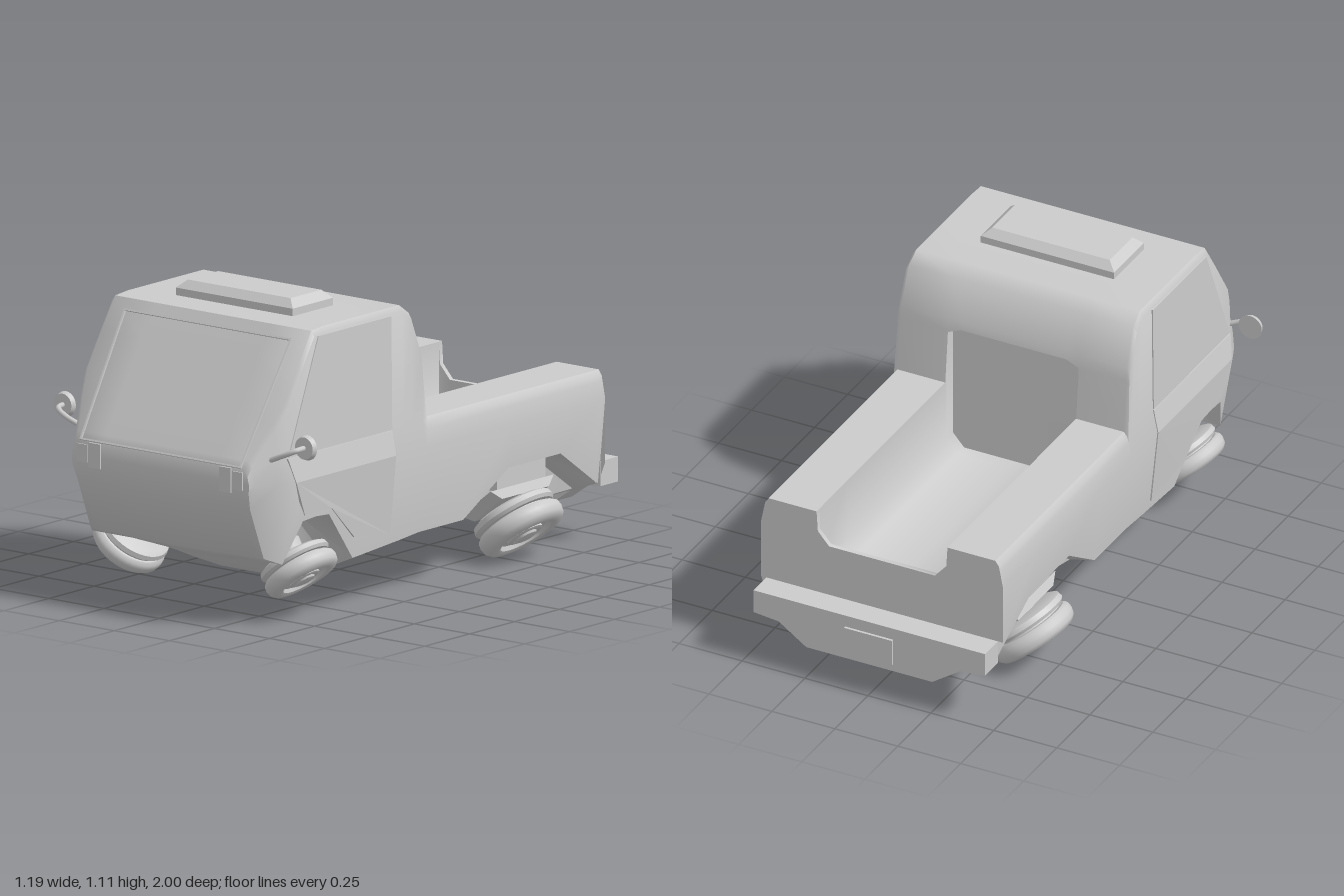
import * as THREE from 'three';
import { toCreasedNormals } from 'three/addons/utils/BufferGeometryUtils.js';

const mat = new THREE.MeshStandardMaterial({ color: 0xcccccc, side: THREE.DoubleSide });

function add(parent, name, geo, x = 0, y = 0, z = 0) {
  const m = new THREE.Mesh(geo, mat);
  m.name = name;
  m.position.set(x, y, z);
  parent.add(m);
  return m;
}

const polygon = pts => new THREE.Shape(pts.map(p => new THREE.Vector2(...p)));

// Half width of the body at height y, narrowing towards the nose
const SIDE = [[0.1, 0.43], [0.3, 0.462], [0.53, 0.48], [0.62, 0.462], [1.03, 0.458], [1.06, 0.455]];
function side(y, z) {
  let w = SIDE[0][1];
  for (let i = 1; i < SIDE.length; i++) {
    const [y0, w0] = SIDE[i - 1], [y1, w1] = SIDE[i];
    if (y >= y0) w = w0 + (w1 - w0) * Math.min(1, (y - y0) / (y1 - y0));
  }
  return w * (1 - Math.max(0, z - 0.86) / 0.14 * 0.17);
}

// Right half of a body cross-section, from belly centre to top centre;
// recess moves the middle of the top forwards
function halfSection([z, yB, yS, arch, yTop, yC, recess = 0]) {
  const y2 = Math.min(yB + 0.03, yS);
  const belt = Math.min(0.53, yTop - 0.06), waist = Math.min(0.62, yTop - 0.04), sh = yTop - 0.02;
  const tuck = Math.max(0, z - 0.8) * 0.5 * Math.max(0, (0.5 - yS) / 0.3);
  return [
    [0, yB], [0.15, yB], [0.25, y2],
    arch ? [0.28, yS] : [0.35, (y2 + yS) / 2],
    [side(yS, z) - tuck, yS],
    [side(belt, z), belt], [side(waist, z), waist], [side(sh, z), sh],
    [side(yTop, z) - 0.012, yTop], [0.26, yTop],
    [0.255, Math.min(yTop, yC + 0.05), recess], [0.21, yC, recess], [0, yC, recess],
  ].map(([x, y, dz = 0]) => new THREE.Vector3(x, y, z + dz));
}

// Skin mirrored half sections, ordered front to back, with closed ends
function loft(halves) {
  const flat = (h, y) => h.map(p => new THREE.Vector3(p.x, y, p.z));
  const last = halves[halves.length - 1];
  const rings = [flat(halves[0], 0.54), ...halves, flat(last, 0.3)].map(h => [
    ...h, ...h.slice(1, -1).reverse().map(p => new THREE.Vector3(-p.x, p.y, p.z)),
  ]);
  const pos = [];
  for (let i = 0; i < rings.length - 1; i++) {
    const n = rings[i].length;
    for (let j = 0; j < n; j++) {
      const k = (j + 1) % n;
      const a = rings[i][j], b = rings[i][k], c = rings[i + 1][k], d = rings[i + 1][j];
      for (const p of [a, d, c, a, c, b]) pos.push(p.x, p.y, p.z);
    }
  }
  const g = new THREE.BufferGeometry();
  g.setAttribute('position', new THREE.Float32BufferAttribute(pos, 3));
  return toCreasedNormals(g, 0.85);
}

// Thin panel with a (z, y) outline that hugs the body side s
function sidePanel(outline, s) {
  const shape = polygon(outline.map(([z, y]) => [-s * z, y]));
  const g = new THREE.ExtrudeGeometry(shape, { depth: 0.012, bevelEnabled: false });
  const p = g.attributes.position;
  for (let i = 0; i < p.count; i++) {
    const z = -s * p.getX(i), y = p.getY(i);
    p.setXYZ(i, s * (side(y, z) - 0.008 + p.getZ(i)), y, z);
  }
  g.computeVertexNormals();
  return g;
}

// Box with its top face shrunk
function taperedBox(w, h, d, sx, sz) {
  const g = new THREE.BoxGeometry(w, h, d);
  const p = g.attributes.position;
  for (let i = 0; i < p.count; i++)
    if (p.getY(i) > 0) p.setXYZ(i, p.getX(i) * sx, p.getY(i), p.getZ(i) * sz);
  g.computeVertexNormals();
  return g;
}

// Tilted wheel whose outer face looks down and outwards
function wheel(r, s, name) {
  const g = new THREE.Group();
  g.name = name;
  const lathe = list => toCreasedNormals(
    new THREE.LatheGeometry(list.map(([x, y]) => new THREE.Vector2(x * r, y * r)), 36), 0.7);
  add(g, 'tyre', lathe([[0.5, -0.04], [0.9, -0.04], [0.98, 0.03], [1, 0.14], [0.97, 0.28], [0.88, 0.37],
    [0.72, 0.4], [0.63, 0.37], [0.58, 0.28], [0, 0.28]]));
  add(g, 'innerDisc', lathe([[0, -0.34], [0.8, -0.34], [0.93, -0.28], [0.96, -0.16], [0.9, -0.09], [0.8, -0.08], [0.8, -0.03]]));
  add(g, 'hubCap', lathe([[0.42, 0.27], [0.42, 0.34], [0.34, 0.37], [0.27, 0.35], [0.24, 0.4], [0.12, 0.43], [0, 0.44]]));
  add(g, 'strut', new THREE.CylinderGeometry(0.35 * r, 0.4 * r, 0.4 * r, 16), 0, -0.5 * r, 0);
  g.rotation.z = -s * 2.473;
  return g;
}

export function createModel() {
  const model = new THREE.Group();
  model.name = 'pickupTruck';

  // Body: z, belly y, sill y, in wheel arch, top y, centre (bed floor) y, recess
  const sections = [
    [0.994, 0.5, 0.505, 0, 0.588, 0.588],
    [0.975, 0.44, 0.445, 0, 0.62, 0.62],
    [0.9, 0.25, 0.255, 0, 0.738, 0.738],
    [0.845, 0.225, 0.23, 0, 0.824, 0.824],
    [0.775, 0.2, 0.38, 1, 0.935, 0.935],
    [0.7, 0.17, 0.385, 1, 1.05, 1.05],
    [0.63, 0.14, 0.38, 1, 1.056, 1.056],
    [0.47, 0.077, 0.19, 0, 1.056, 1.056],
    [0.21, 0.125, 0.21, 0, 1.056, 1.056],
    [0.16, 0.135, 0.215, 0, 1.02, 1.02],
    [0.105, 0.14, 0.22, 0, 0.88, 0.88],
    [0.1, 0.14, 0.22, 0, 0.83, 0.85],
    [0.099, 0.14, 0.22, 0, 0.82, 0.85, 0.03],
    [0.098, 0.14, 0.22, 0, 0.81, 0.35, 0.03],
    [0.08, 0.14, 0.22, 0, 0.63, 0.35],
    [-0.14, 0.14, 0.22, 0, 0.63, 0.35],
    [-0.37, 0.125, 0.37, 1, 0.63, 0.35],
    [-0.66, 0.12, 0.37, 1, 0.63, 0.35],
    [-0.87, 0.12, 0.23, 0, 0.63, 0.35],
    [-0.875, 0.12, 0.225, 0, 0.63, 0.5],
    [-0.893, 0.12, 0.22, 0, 0.63, 0.5],
  ];
  add(model, 'body', loft(sections.map(halfSection)));

  // Windscreen frame lying on the sloped front
  const frame = polygon([[-0.365, -0.25], [0.365, -0.25], [0.38, 0.25], [-0.38, 0.25]]);
  frame.holes.push(polygon([[-0.358, -0.243], [-0.373, 0.243], [0.373, 0.243], [0.358, -0.243]]));
  const screen = add(model, 'windscreenFrame', new THREE.ExtrudeGeometry(frame, { depth: 0.008, bevelEnabled: false }), 0, 0.803, 0.857);
  screen.rotation.x = -0.564;

  // Roof box with a chamfered top
  add(model, 'roofBoxBase', new THREE.BoxGeometry(0.53, 0.03, 0.225), 0, 1.068, 0.47);
  add(model, 'roofBoxTop', taperedBox(0.53, 0.029, 0.225, 0.88, 0.76), 0, 1.0975, 0.47);

  // Rear bumper with a narrower chin, and its plate
  const chin = polygon([[-0.46, 0.3], [-0.46, 0.21], [-0.36, 0.2], [-0.25, 0.125], [0.25, 0.125], [0.36, 0.2], [0.46, 0.21], [0.46, 0.3]]);
  add(model, 'rearBumper', new THREE.ExtrudeGeometry(chin, { depth: 0.1, bevelEnabled: false }), 0, 0, -0.99);
  add(model, 'rearPlate', new THREE.BoxGeometry(0.19, 0.1, 0.014), 0, 0.205, -0.993);

  for (const s of [1, -1]) {
    // Door
    add(model, 'sideWindow', sidePanel([[0.275, 1.03], [0.275, 0.622], [0.85, 0.622], [0.68, 1.03]], s));
    add(model, 'doorUpper', sidePanel([[0.275, 0.618], [0.275, 0.53], [0.83, 0.53], [0.855, 0.618]], s));
    add(model, 'doorLower', sidePanel([[0.275, 0.53], [0.275, 0.24], [0.48, 0.27], [0.62, 0.4], [0.77, 0.4], [0.83, 0.53]], s));

    // Front lamps
    add(model, 'outerLamp', new THREE.BoxGeometry(0.045, 0.065, 0.05), s * 0.352, 0.548, 0.974);
    add(model, 'innerLamp', new THREE.BoxGeometry(0.052, 0.09, 0.04), s * 0.296, 0.545, 0.98);

    // Wing mirror on a bent arm
    const arm = new THREE.CatmullRomCurve3([[0.41, 0.61, 0.905], [0.5, 0.648, 0.915], [0.54, 0.666, 0.9], [0.547, 0.67, 0.862]]
      .map(([x, y, z]) => new THREE.Vector3(s * x, y, z)));
    add(model, 'mirrorArm', new THREE.TubeGeometry(arm, 16, 0.01, 8));
    const glass = add(model, 'mirror', new THREE.CylinderGeometry(0.046, 0.04, 0.018, 28), s * 0.547, 0.67, 0.858);
    glass.rotation.x = -Math.PI / 2;

    // Rear wheel bay and mounting plate
    add(model, 'wheelBay', new THREE.BoxGeometry(0.14, 0.1, 0.27), s * 0.33, 0.32, -0.525);
    const mount = add(model, 'wheelMount', taperedBox(0.16, 0.035, 0.26, 1.1, 1.35), s * 0.345, 0.21, -0.525);
    mount.rotation.z = s * 0.669;

    // Wheels
    const front = wheel(0.14, s, 'frontWheel'), rear = wheel(0.163, s, 'rearWheel');
    front.position.set(s * 0.378, 0.185, 0.69);
    rear.position.set(s * 0.388, 0.138, -0.52);
    model.add(front, rear);
  }
  return model;
}
